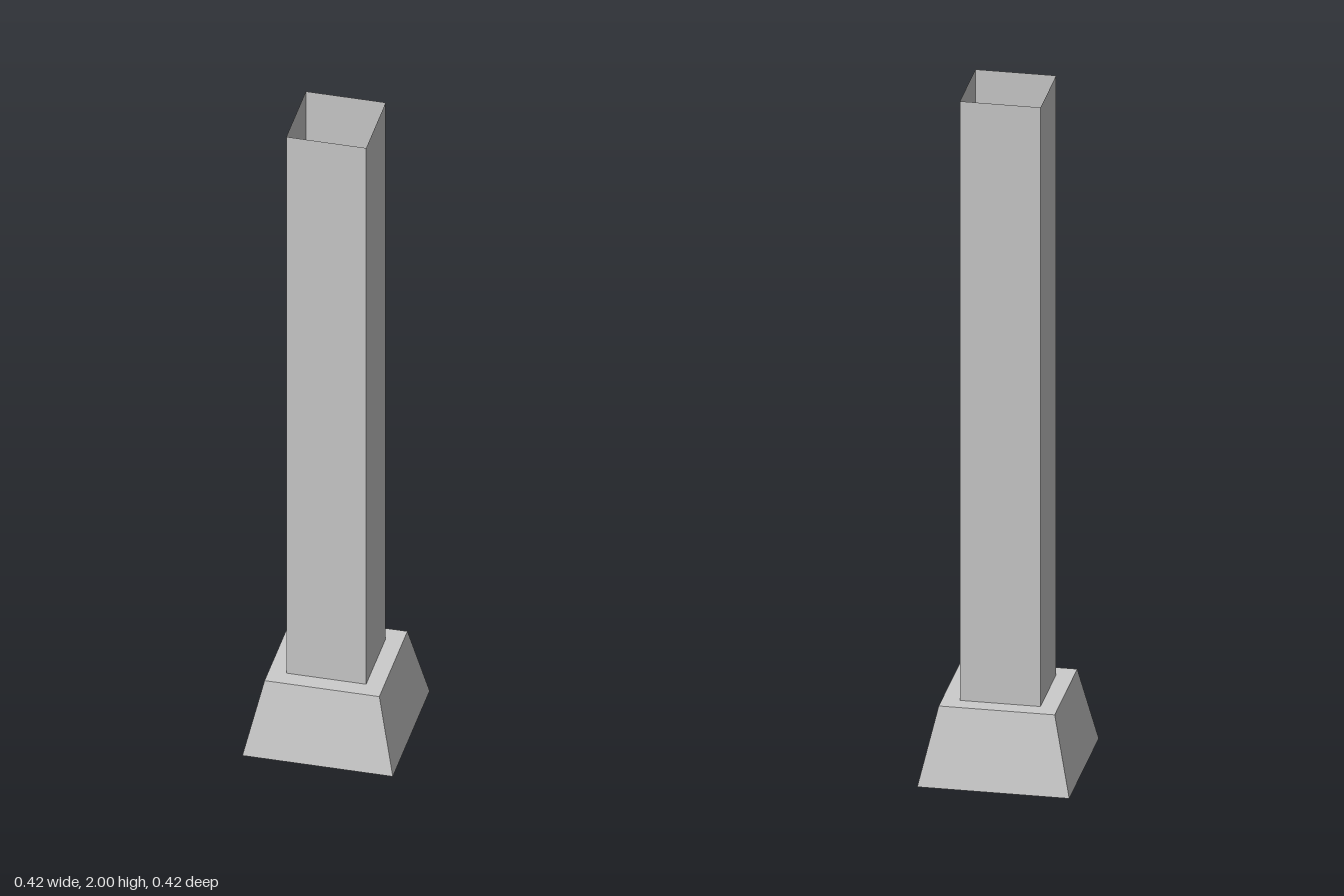
import * as THREE from 'three';

const material = new THREE.MeshStandardMaterial({
  color: 0xcccccc, flatShading: true, side: THREE.DoubleSide,
});

// Open square tube between two heights, given its half widths
function squareTube(name, halfTop, halfBottom, y0, y1) {
  const geometry = new THREE.CylinderGeometry(
    halfTop * Math.SQRT2, halfBottom * Math.SQRT2, y1 - y0, 4, 1, true);
  geometry.rotateY(Math.PI / 4);
  geometry.translate(0, (y0 + y1) / 2, 0);
  const mesh = new THREE.Mesh(geometry, material);
  mesh.name = name;
  return mesh;
}

export function createModel() {
  const group = new THREE.Group();
  group.name = 'squarePost';
  const baseHeight = 0.223, capHalf = 0.161;

  // Tapered footing, open underneath
  group.add(squareTube('footingSides', capHalf, 0.211, 0, baseHeight));

  // Flat plate closing the top of the footing
  const plate = new THREE.PlaneGeometry(capHalf * 2, capHalf * 2);
  plate.rotateX(-Math.PI / 2);
  plate.translate(0, baseHeight, 0);
  const footingTop = new THREE.Mesh(plate, material);
  footingTop.name = 'footingTop';
  group.add(footingTop);

  // Hollow shaft, open at both ends, sunk through the footing top
  group.add(squareTube('shaft', 0.112, 0.112, 0.135, 2));

  return group;
}
